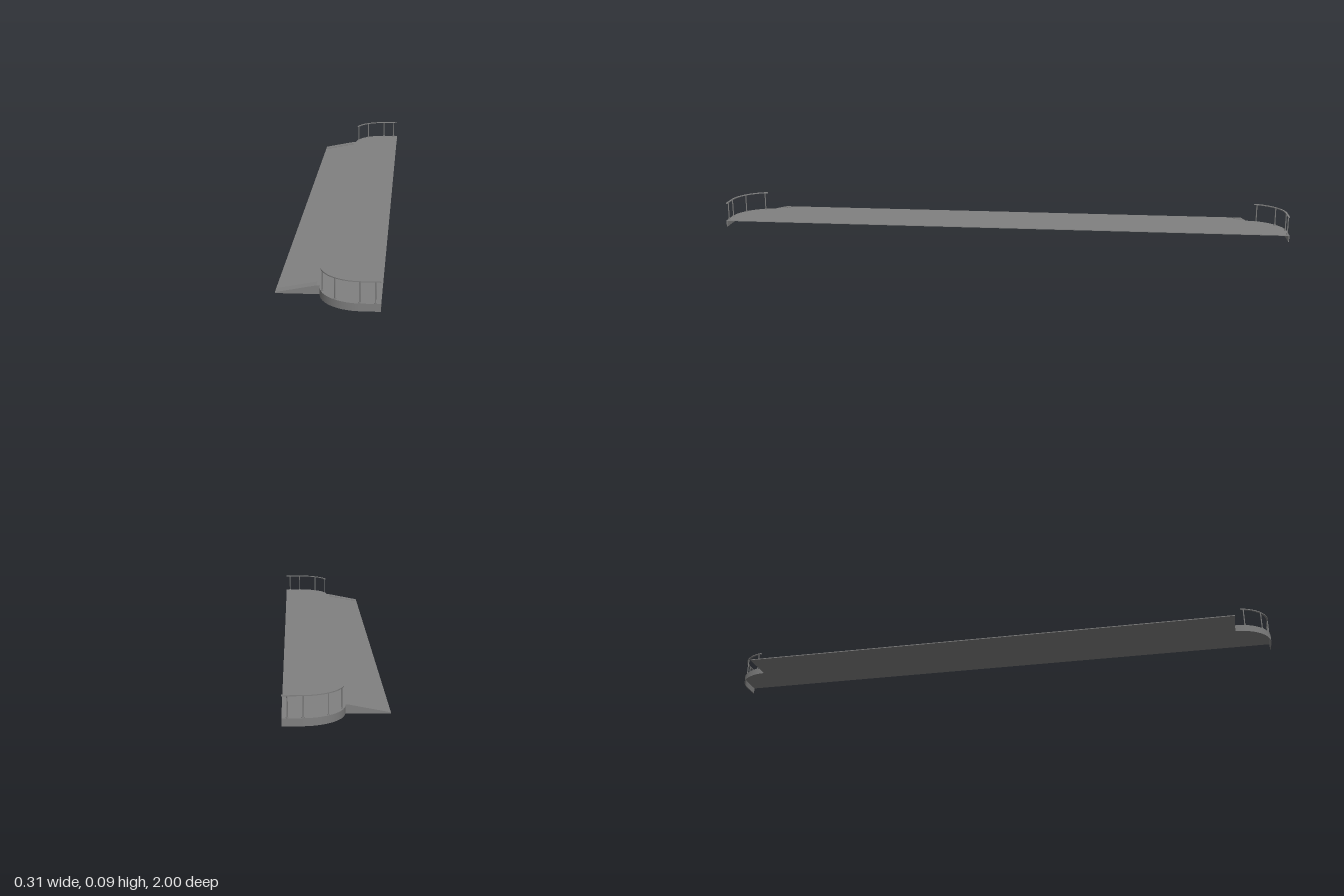
import * as THREE from 'three';

const TOP = 0.027, EDGE = -0.025, BACK = 0.156, FRONT = -0.156; // deck height and x limits
const CX = 0.1, CZ = 0.875, R = 0.125;                           // centre and radius of rounded corners
const STAIR_Z = 0.873, STRINGER = 0.03, STEPS = 5;

export function createModel() {
  const model = new THREE.Group();
  model.name = 'steppedPlatform';
  const grey = new THREE.MeshStandardMaterial({ color: 0x808080, side: THREE.DoubleSide });
  grey.name = 'concreteGrey';

  const add = (parent, name, geometry, x = 0, y = 0, z = 0) => {
    const mesh = new THREE.Mesh(geometry, grey);
    mesh.name = name;
    mesh.position.set(x, y, z);
    parent.add(mesh);
    return mesh;
  };
  const extrude = (shape, depth) =>
    new THREE.ExtrudeGeometry(shape, { depth, bevelEnabled: false, curveSegments: 20 });
  // plan shapes are drawn in x and -z, then laid flat
  const flat = (shape, height) => extrude(shape, height).rotateX(-Math.PI / 2);

  // curved band of constant width: rounded corner followed by a straight run to the back
  const band = (outer, inner, startAngle, endX) => {
    const s = new THREE.Shape();
    s.absarc(CX, CZ, outer, startAngle, Math.PI / 2, true);
    s.lineTo(endX, CZ + outer);
    s.lineTo(endX, CZ + inner);
    s.lineTo(CX, CZ + inner);
    s.absarc(CX, CZ, inner, Math.PI / 2, startAngle, false);
    s.closePath();
    return s;
  };

  // thin deck with rounded front corners
  const deck = new THREE.Shape();
  deck.moveTo(BACK, -CZ - R);
  deck.lineTo(BACK, CZ + R);
  deck.lineTo(CX, CZ + R);
  deck.absarc(CX, CZ, R, Math.PI / 2, Math.PI, false);
  deck.lineTo(EDGE, -CZ);
  deck.absarc(CX, -CZ, R, Math.PI, Math.PI * 1.5, false);
  deck.closePath();
  add(model, 'deck', flat(deck, 0.002), 0, TOP - 0.002, 0);

  // steps whose nosings follow the slope of the side stringers
  const slopeTop = -0.035, low = 0.003;
  const steps = new THREE.Shape();
  steps.moveTo(EDGE, 0);
  steps.lineTo(FRONT, 0);
  steps.lineTo(FRONT, low);
  for (let i = 1; i <= STEPS; i++) {
    const x = FRONT + (slopeTop - FRONT) * i / STEPS;
    steps.lineTo(x, low + (TOP - low) * (i - 1) / STEPS);
    steps.lineTo(x, low + (TOP - low) * i / STEPS);
  }
  steps.lineTo(EDGE, TOP);
  steps.closePath();
  const stepHalf = STAIR_Z - STRINGER;
  add(model, 'steps', extrude(steps, stepHalf * 2), 0, 0, -stepHalf);

  const ramp = new THREE.Shape();
  ramp.moveTo(EDGE, 0);
  ramp.lineTo(FRONT, 0);
  ramp.lineTo(FRONT, low);
  ramp.lineTo(slopeTop, TOP);
  ramp.lineTo(EDGE, TOP);
  ramp.closePath();

  for (const side of [1, -1]) {
    const end = new THREE.Group();
    end.name = side > 0 ? 'frontEnd' : 'rearEnd';
    model.add(end);

    add(end, 'stringer', extrude(ramp, STRINGER), 0, 0, side > 0 ? stepHalf : -STAIR_Z);

    // the plan is drawn towards -z, so the +z end is mirrored by baking the geometry
    const place = (shape, height) => {
      const g = flat(shape, height);
      if (side > 0) {
        g.scale(1, 1, -1);
        const p = g.attributes.position, n = g.attributes.normal;
        for (let i = 0; i < p.count; i += 3) { // restore the corner order
          for (const a of [p, n]) {
            const b = [a.getX(i), a.getY(i), a.getZ(i)];
            a.setXYZ(i, a.getX(i + 1), a.getY(i + 1), a.getZ(i + 1));
            a.setXYZ(i + 1, ...b);
          }
        }
      }
      return g;
    };

    // skirt hanging below the curved deck edge
    add(end, 'skirt', place(band(R, R - 0.003, Math.PI, BACK), TOP - 0.006), 0, 0.004, 0);

    // guard rail: flat handrail on slim posts with base plates
    add(end, 'handrail', place(band(0.123, 0.117, Math.PI - 0.2, BACK), 0.003), 0, 0.089, 0);
    for (const x of [-0.015, 0.026, 0.096, 0.14]) {
      const dx = Math.min(0, x - CX);
      const z = side * (CZ + Math.sqrt(0.12 ** 2 - dx * dx));
      add(end, 'railPost', new THREE.CylinderGeometry(0.002, 0.002, 0.063, 8), x, TOP + 0.0315, z);
      add(end, 'postBase', new THREE.CylinderGeometry(0.0045, 0.0045, 0.002, 10), x, TOP + 0.001, z);
    }
  }
  return model;
}
